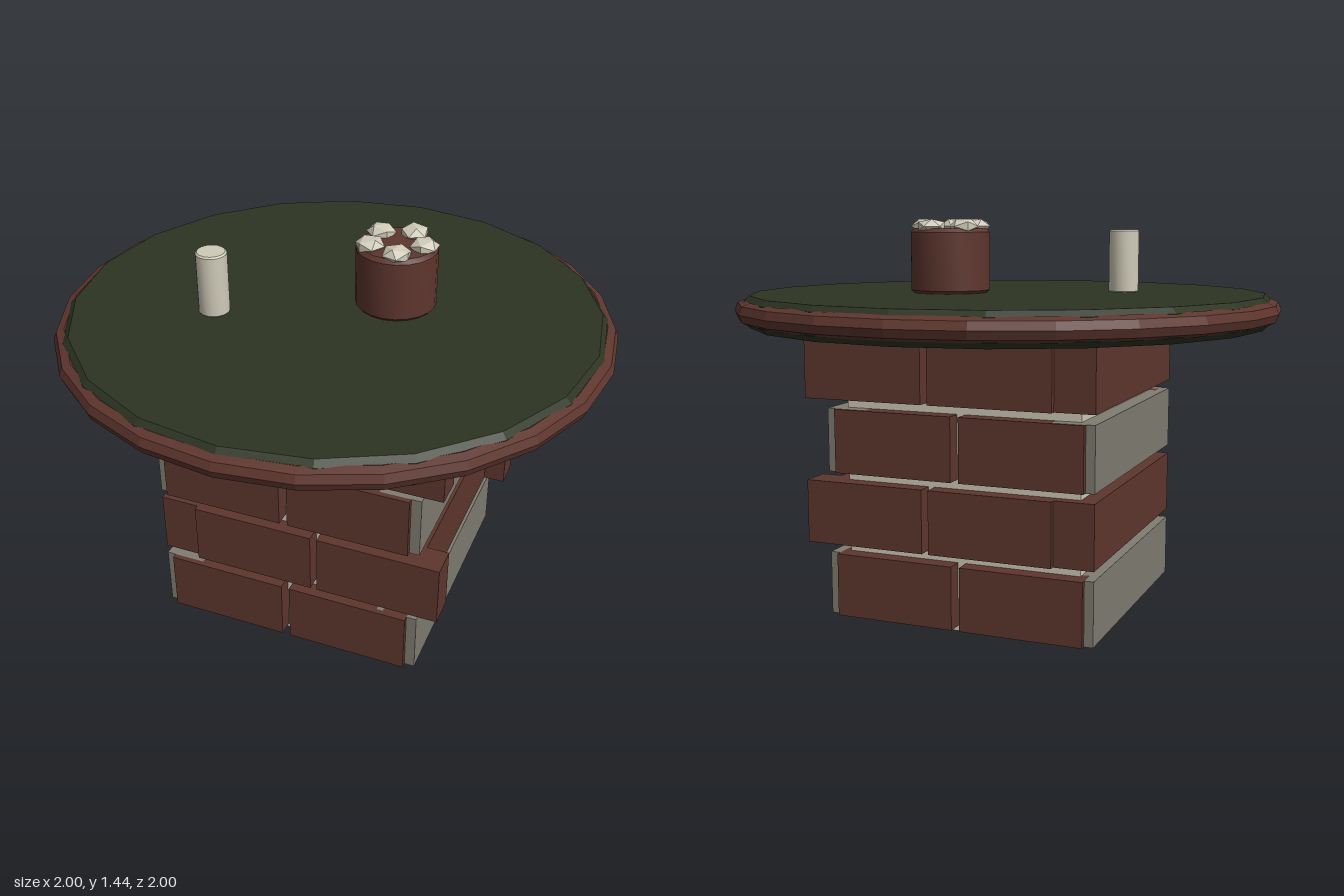
import * as THREE from 'three';
import { toCreasedNormals } from 'three/addons/utils/BufferGeometryUtils.js';

const material = (name, color) => {
  const m = new THREE.MeshStandardMaterial({ color });
  m.name = name;
  return m;
};

export function createModel() {
  const brick = material('brick red', 0x5e362e);
  const cream = material('cream', 0xd0cbb9);
  const grey = material('stone grey', 0x807c71);
  const green = material('dark green', 0x2d3423);

  const model = new THREE.Group();
  model.name = 'brickTable';

  const add = (name, geometry, mat, parent = model) => {
    const mesh = new THREE.Mesh(geometry, mat);
    mesh.name = name;
    parent.add(mesh);
    return mesh;
  };

  // Box given by its limits on each axis
  const box = (name, mat, [x0, x1], [y0, y1], [z0, z1], parent) => {
    const mesh = add(name, new THREE.BoxGeometry(x1 - x0, y1 - y0, z1 - z0), mat, parent);
    mesh.position.set((x0 + x1) / 2, (y0 + y1) / 2, (z0 + z1) / 2);
    return mesh;
  };

  // Solid of revolution with bevelled top and bottom edges
  const bevelledDisc = (name, mat, r, y0, y1, bevel, sides, crease) => {
    const profile = [
      [0, y0], [r - bevel, y0], [r, y0 + bevel],
      [r, y1 - bevel], [r - bevel, y1], [0, y1],
    ].map(([x, y]) => new THREE.Vector2(x, y));
    return add(name, toCreasedNormals(new THREE.LatheGeometry(profile, sides), crease), mat);
  };

  // Mortar core
  box('mortarCore', cream, [-0.44, 0.44], [0, 1.07], [-0.44, 0.44]);

  // Four courses, alternately straight and shifted towards +x
  for (let i = 0; i < 4; i++) {
    const course = new THREE.Group();
    course.name = `brickCourse${i + 1}`;
    model.add(course);
    const y = [0.02 + i * 0.264, 0.25 + i * 0.264];
    const shifted = i % 2 === 1;
    const spans = shifted ? [[-0.355, 0.1], [0.125, 0.58]] : [[-0.467, -0.017], [0.013, 0.463]];
    for (const z of [[0.39, 0.5], [-0.5, -0.39]]) {
      for (const x of spans) box('brick', brick, x, y, z, course);
    }
    // Long blocks on the two sides
    for (const x of [[0.35, 0.5], [-0.5, -0.35]]) {
      box('sideBlock', shifted ? brick : grey, x, y, [-0.48, 0.48], course);
    }
  }

  // Table top and its rim
  bevelledDisc('tableTop', green, 0.965, 1.06, 1.175, 0.02, 20, 0.2);
  const rimGeometry = new THREE.TorusGeometry(0.96, 0.04, 8, 24).rotateX(Math.PI / 2);
  add('tableRim', toCreasedNormals(rimGeometry, 0.2), brick).position.y = 1.118;

  // Candle
  bevelledDisc('candle', cream, 0.056, 1.172, 1.405, 0.006, 16, 0.6)
    .position.set(-0.39, 0, 0.19);

  // Pot with a ring of pebbles
  bevelledDisc('pot', brick, 0.146, 1.172, 1.41, 0.014, 20, 0.6)
    .position.set(0.19, 0, -0.1);
  for (let i = 0; i < 5; i++) {
    const a = (i * Math.PI * 2) / 5;
    const stone = new THREE.IcosahedronGeometry(0.055, 0)
      .rotateY(i * 1.3).scale(1, 0.55, 1);
    add('pebble', toCreasedNormals(stone, 0.1), cream)
      .position.set(0.19 + 0.1 * Math.cos(a), 1.417, -0.1 + 0.1 * Math.sin(a));
  }

  return model;
}
